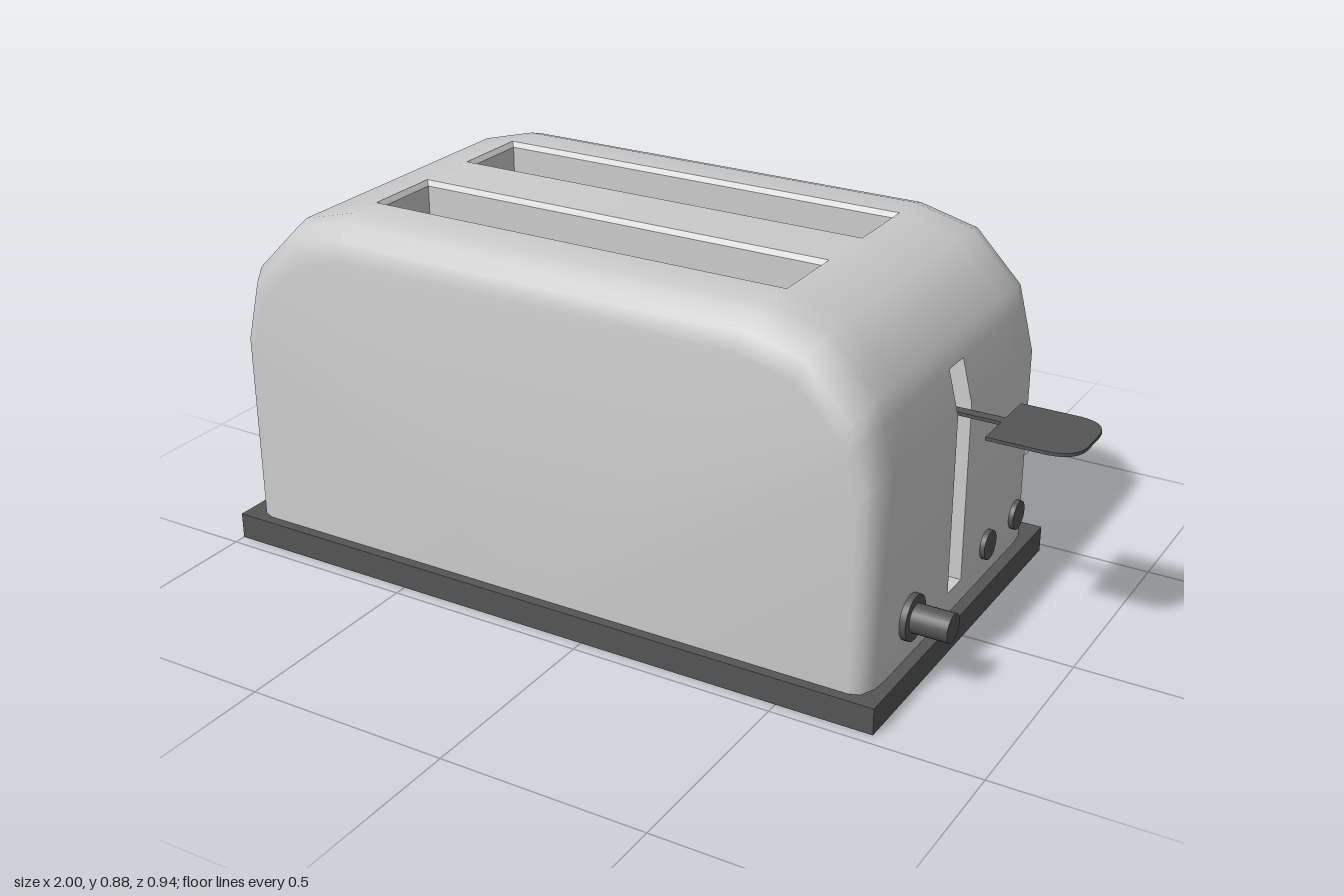
import * as THREE from 'three';
import { toCreasedNormals } from 'three/addons/utils/BufferGeometryUtils.js';

const grey = new THREE.MeshStandardMaterial({ color: 0xcccccc });
const dark = new THREE.MeshStandardMaterial({ color: 0x555555 });

const BASE = 0.065, TOP = 0.877, CX = -0.1325, HALF = 0.8375;
const SLOT = { x0: -0.67, x1: 0.405, z0: 0.08, z1: 0.275 };
const TRACK = { y0: 0.12, y1: 0.665, z: 0.037, back: 0.6 };

// Side outline, from the bottom of one end over the top to the other end
const PROFILE = [
  [-0.97, BASE], [-0.97, 0.56], [-0.93, 0.72], [-0.81, 0.84], [SLOT.x0, TOP],
  [SLOT.x1, TOP], [0.55, 0.84], [0.665, 0.72], [0.679, TRACK.y1], [0.705, 0.56],
  [0.705, TRACK.y0], [0.705, BASE],
];
// Depth stations: z, inset at the ends, inset at the top
const HALF_STATIONS = [
  [TRACK.z, 0, 0], [SLOT.z0, 0, 0], [SLOT.z1, 0, 0], [0.36, 0, 0],
  [0.4, 0.004, 0.012], [0.435, 0.02, 0.042], [0.445, 0.045, 0.09],
];

function add(parent, name, geometry, material, x = 0, y = 0, z = 0) {
  const mesh = new THREE.Mesh(geometry, material);
  mesh.name = name;
  mesh.position.set(x, y, z);
  parent.add(mesh);
  return mesh;
}

// Rounded shell lofted across z, leaving cells open for the slots and the lever track
function shellGeometry() {
  const stations = [...HALF_STATIONS.map(([z, a, b]) => [-z, a, b]).reverse(), ...HALF_STATIONS];
  const rings = stations.map(([z, inX, inY]) => PROFILE.map(([x, y]) => [
    CX + (x - CX) * (HALF - inX) / HALF,
    BASE + (y - BASE) * (TOP - BASE - inY) / (TOP - BASE), z]));
  const pos = [];
  const tri = (...corners) => corners.forEach((c) => pos.push(...c));
  const last = rings.length - 1;
  for (let j = 0; j < last; j++) {
    const mid = Math.abs(stations[j][0] + stations[j + 1][0]) / 2;
    for (let i = 0; i < PROFILE.length - 1; i++) {
      const inSlot = i === 4 && mid > SLOT.z0 && mid < SLOT.z1;
      const inTrack = (i === 8 || i === 9) && mid < TRACK.z;
      if (inSlot || inTrack) continue;
      const a = rings[j][i], b = rings[j + 1][i], c = rings[j + 1][i + 1], d = rings[j][i + 1];
      tri(a, b, c);
      tri(a, c, d);
    }
  }
  // Flat front and back sides
  for (let i = 0; i < PROFILE.length - 1; i++) {
    tri([CX, BASE, 0.445], rings[last][i + 1], rings[last][i]);
    tri([CX, BASE, -0.445], rings[0][i], rings[0][i + 1]);
  }
  const g = new THREE.BufferGeometry();
  g.setAttribute('position', new THREE.Float32BufferAttribute(pos, 3));
  return toCreasedNormals(g, 0.8);
}

// Box turned inside out with one face removed; place() moves each corner
function pocketGeometry(openFace, place) {
  const g = new THREE.BoxGeometry(2, 2, 2, 1, 2, 1);
  const { start, count } = g.groups[openFace];
  const index = Array.from(g.index.array);
  index.splice(start, count);
  g.setIndex(index.reverse());
  g.clearGroups();
  const p = g.attributes.position;
  for (let i = 0; i < p.count; i++) p.setXYZ(i, ...place(p.getX(i), p.getY(i), p.getZ(i)));
  const flat = g.toNonIndexed();
  flat.computeVertexNormals();
  return flat;
}

// Cylinder lying along x, starting at the end wall
function peg(parent, name, radius, length, y, z) {
  const g = new THREE.CylinderGeometry(radius, radius, length, 24).rotateZ(-Math.PI / 2);
  return add(parent, name, g, dark, 0.703 + length / 2, y, z);
}

export function createModel() {
  const model = new THREE.Group();
  model.name = 'toaster';

  add(model, 'base', new THREE.BoxGeometry(1.733, BASE, 0.94), dark, -0.1335, BASE / 2, 0);
  add(model, 'shell', shellGeometry(), grey);

  // Bread slots with a small chamfer at the rim
  const slotMid = (SLOT.x0 + SLOT.x1) / 2, slotHalf = (SLOT.x1 - SLOT.x0) / 2;
  const slotWide = (SLOT.z1 - SLOT.z0) / 2, slotZ = (SLOT.z0 + SLOT.z1) / 2;
  for (const side of [-1, 1]) {
    const g = pocketGeometry(2, (x, y, z) => {
      const inset = y > 0.5 ? 0 : 0.009;
      const height = y > 0.5 ? TOP : y > -0.5 ? TOP - 0.012 : 0.25;
      return [slotMid + x * (slotHalf - inset), height, side * slotZ + z * (slotWide - inset)];
    });
    add(model, side > 0 ? 'frontBreadSlot' : 'backBreadSlot', g, grey);
  }

  // Lever track, following the slope of the end wall at its top
  add(model, 'leverTrack', pocketGeometry(0, (x, y, z) => {
    const height = y > 0.5 ? TRACK.y1 : y > -0.5 ? 0.56 : TRACK.y0;
    const face = y > 0.5 ? 0.679 : 0.705;
    return [x > 0 ? face : TRACK.back, height, z * TRACK.z];
  }), grey);

  // Lever: thin arm and a paddle with rounded outer corners
  const lever = new THREE.Group();
  lever.name = 'lever';
  lever.position.y = 0.55;
  model.add(lever);
  add(lever, 'leverArm', new THREE.BoxGeometry(0.2, 0.008, 0.026), dark, 0.7, 0.004, 0);
  const s = new THREE.Shape();
  s.moveTo(0.795, -0.1);
  s.lineTo(0.935, -0.1);
  s.quadraticCurveTo(0.995, -0.095, 1, -0.04);
  s.lineTo(1, 0.04);
  s.quadraticCurveTo(0.995, 0.095, 0.935, 0.1);
  s.lineTo(0.795, 0.1);
  const paddle = new THREE.ExtrudeGeometry(s, { depth: 0.008, bevelEnabled: false, curveSegments: 6 });
  add(lever, 'leverPaddle', paddle.rotateX(-Math.PI / 2), dark);

  // Browning knob and push buttons
  peg(model, 'knobCollar', 0.054, 0.017, 0.167, 0.245);
  peg(model, 'knobStem', 0.034, 0.105, 0.167, 0.245);
  for (const z of [-0.177, -0.35]) peg(model, 'button', 0.036, 0.014, 0.147, z);

  return model;
}
